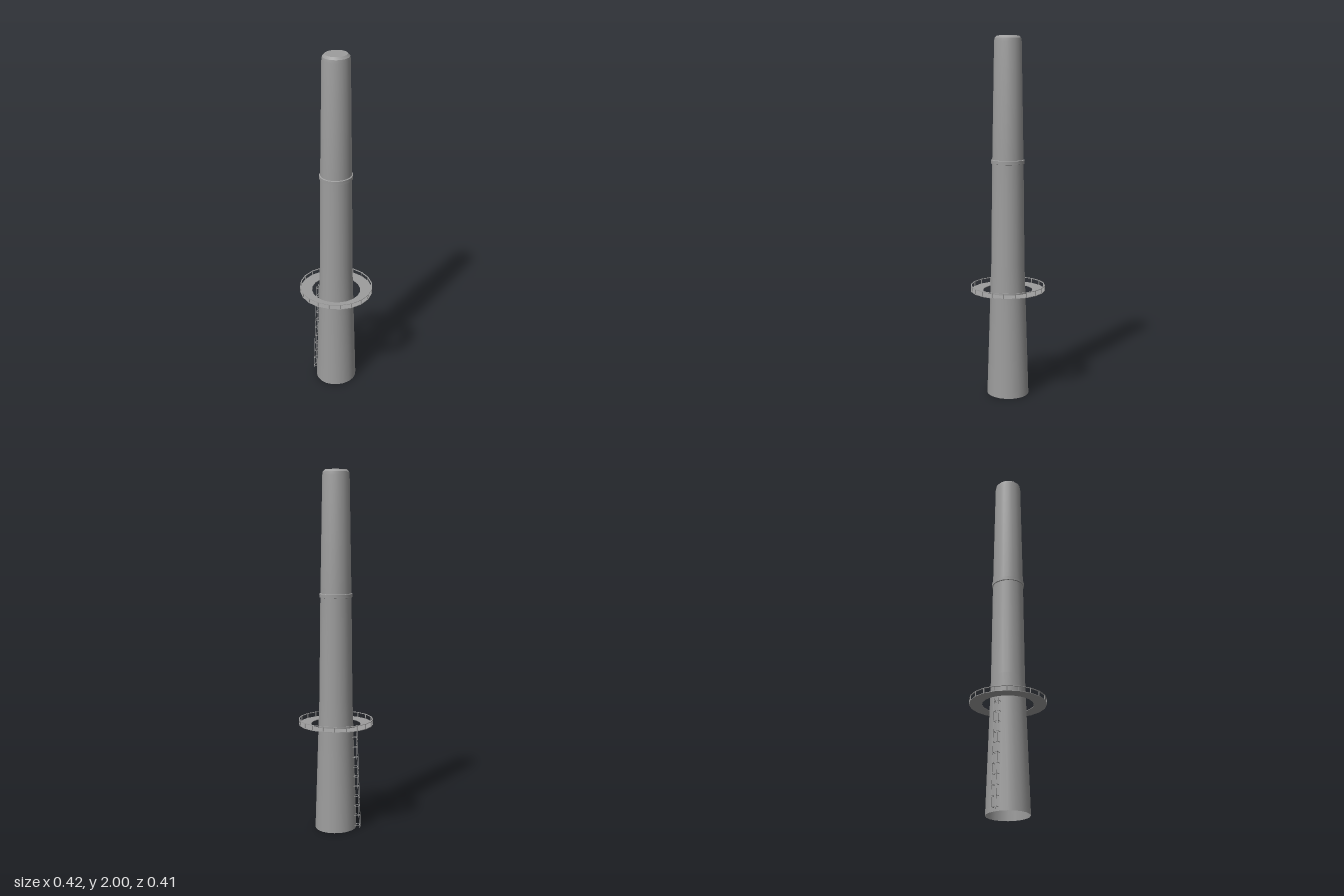
import * as THREE from 'three';
import { toCreasedNormals } from 'three/addons/utils/BufferGeometryUtils.js';

const SIDES = 20;
const material = new THREE.MeshStandardMaterial({ color: 0x9d9d9d, side: THREE.DoubleSide });

function addMesh(parent, name, geometry) {
  const mesh = new THREE.Mesh(geometry, material);
  mesh.name = name;
  parent.add(mesh);
  return mesh;
}

// Turned part from [radius, height] pairs
function turned(parent, name, profile) {
  const points = profile.map(([r, y]) => new THREE.Vector2(r, y));
  return addMesh(parent, name, toCreasedNormals(new THREE.LatheGeometry(points, SIDES), 0.6));
}

// Thin square bar between two points
function bar(parent, name, a, b, thickness) {
  const from = new THREE.Vector3(...a);
  const to = new THREE.Vector3(...b);
  const mesh = addMesh(parent, name, new THREE.BoxGeometry(thickness, thickness, from.distanceTo(to)));
  mesh.position.copy(from).add(to).multiplyScalar(0.5);
  mesh.quaternion.setFromUnitVectors(new THREE.Vector3(0, 0, 1), to.sub(from).normalize());
  return mesh;
}

export function createModel() {
  const model = new THREE.Group();
  model.name = 'chimney';

  // Slightly oval stack, flared at the open foot, with a rounded closed top
  const stack = new THREE.Group();
  stack.name = 'stack';
  stack.scale.x = 0.96;
  model.add(stack);
  turned(stack, 'shaft', [
    [0.12, 0], [0.095, 0.75], [0.088, 1.32], [0.076, 1.97], [0.073, 1.988], [0.061, 2], [0, 2],
  ]);
  turned(stack, 'collar', [
    [0.086, 1.311], [0.094, 1.313], [0.094, 1.332], [0.086, 1.335],
  ]);

  // Ring-shaped walkway
  const walkway = new THREE.Group();
  walkway.name = 'walkway';
  walkway.scale.z = 0.985;
  model.add(walkway);
  turned(walkway, 'deck', [
    [0.14, 0.599], [0.21, 0.599], [0.21, 0.602], [0.14, 0.602], [0.14, 0.599],
  ]);
  turned(walkway, 'handrail', [
    [0.204, 0.627], [0.21, 0.627], [0.21, 0.63], [0.204, 0.63], [0.204, 0.627],
  ]);
  for (let i = 0; i < SIDES; i++) {
    const a = (i / SIDES) * Math.PI * 2;
    const x = Math.sin(a) * 0.207;
    const z = Math.cos(a) * 0.207;
    bar(walkway, 'railPost', [x, 0.601, z], [x, 0.628, z], 0.004);
  }

  // Ladder leaning along the shaft up to the walkway
  const ladder = new THREE.Group();
  ladder.name = 'ladder';
  ladder.rotation.y = -1.15;
  model.add(ladder);
  const reach = (y) => 0.141 - 0.038 * y;
  const wall = (y) => 0.1145 - 0.032 * y;
  for (const x of [-0.014, 0.014]) {
    bar(ladder, 'ladderRail', [x, 0.005, reach(0)], [x, 0.597, reach(0.597)], 0.0025);
  }
  for (let i = 0; i < 11; i++) {
    const y = 0.02 + i * 0.0565;
    bar(ladder, 'rung', [-0.014, y, reach(y)], [0.014, y, reach(y)], 0.0025);
    for (const x of [-0.014, 0.014]) {
      bar(ladder, 'bracket', [x, y, wall(y)], [x, y, reach(y)], 0.0025);
    }
  }

  return model;
}
